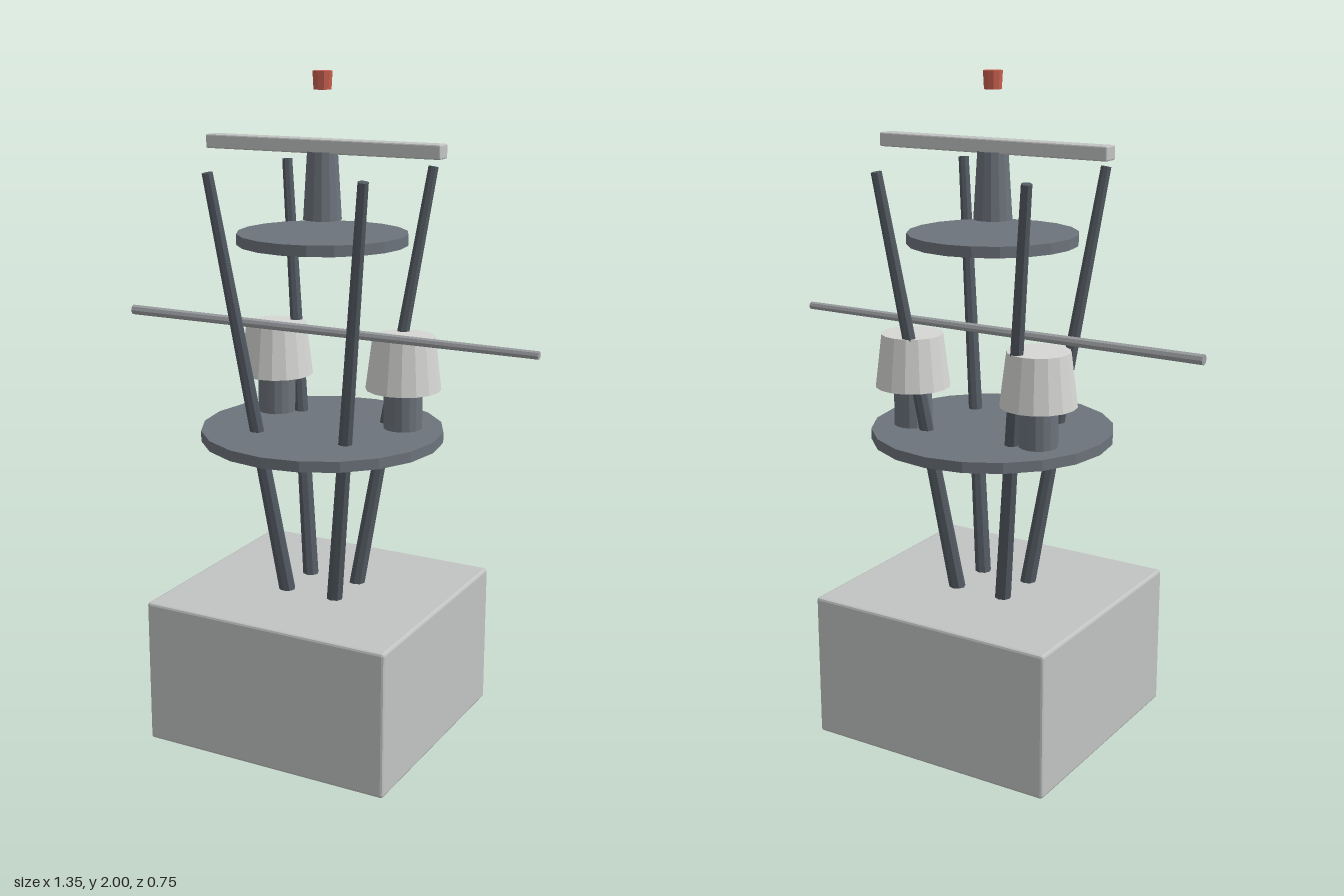
import * as THREE from 'three';
import { RoundedBoxGeometry } from 'three/addons/geometries/RoundedBoxGeometry.js';

const material = (name, color) => {
  const m = new THREE.MeshStandardMaterial({ color, flatShading: true });
  m.name = name;
  return m;
};

export function createModel() {
  const model = new THREE.Group();
  model.name = 'mast';

  const concrete = material('light concrete', 0xc2c4c4);
  const steel = material('slate steel', 0x6c737b);
  const darkSteel = material('dark steel', 0x535a62);
  const ceramic = material('pale ceramic', 0xd6d6d4);
  const metal = material('grey metal', 0x9c9fa2);
  const red = material('signal red', 0xc8604f);

  const add = (name, geometry, mat, x = 0, y = 0, z = 0) => {
    const mesh = new THREE.Mesh(geometry, mat);
    mesh.name = name;
    mesh.position.set(x, y, z);
    model.add(mesh);
    return mesh;
  };

  // upright tapered cylinder between two heights
  const column = (name, mat, rTop, rBottom, y0, y1, sides, x = 0, z = 0) =>
    add(name, new THREE.CylinderGeometry(rTop, rBottom, y1 - y0, sides), mat, x, (y0 + y1) / 2, z);

  // tapered rod between two points
  const rod = (name, mat, from, to, rFrom, rTo, sides) => {
    const dir = to.clone().sub(from);
    const mesh = add(name, new THREE.CylinderGeometry(rTo, rFrom, dir.length(), sides), mat);
    mesh.position.copy(from).add(to).multiplyScalar(0.5);
    mesh.quaternion.setFromUnitVectors(new THREE.Vector3(0, 1, 0), dir.normalize());
    return mesh;
  };

  // base block with a narrow bevel
  add('base', new RoundedBoxGeometry(0.79, 0.445, 0.753, 1, 0.008), concrete, 0, 0.2255, 0);

  // four splayed legs
  for (const sx of [-1, 1]) {
    for (const sz of [-1, 1]) {
      rod('leg', darkSteel,
        new THREE.Vector3(sx * 0.08, 0.43, sz * 0.073),
        new THREE.Vector3(sx * 0.246, 1.723, sz * 0.228), 0.025, 0.016, 8);
    }
  }

  // round platforms
  column('lowerPlatform', steel, 0.364, 0.364, 0.925, 0.957, 20);
  column('upperPlatform', steel, 0.251, 0.251, 1.51, 1.542, 20);

  // pair of capped insulators towards the back
  for (const sx of [-1, 1]) {
    column('insulatorStem', steel, 0.058, 0.058, 0.95, 1.08, 16, sx * 0.217, -0.104);
    column('insulatorCap', ceramic, 0.093, 0.113, 1.077, 1.237, 16, sx * 0.217, -0.104);
  }

  // long thin crossing rod
  rod('crossRod', metal, new THREE.Vector3(-0.676, 1.25, 0), new THREE.Vector3(0.676, 1.25, 0), 0.0155, 0.012, 8);

  // pedestal, top beam and beacon
  column('pedestal', steel, 0.045, 0.057, 1.58, 1.775, 14);
  add('topBeam', new RoundedBoxGeometry(0.757, 0.041, 0.052, 1, 0.004), concrete, 0, 1.79, 0);
  column('beacon', red, 0.029, 0.026, 1.948, 2.0, 10);

  return model;
}
